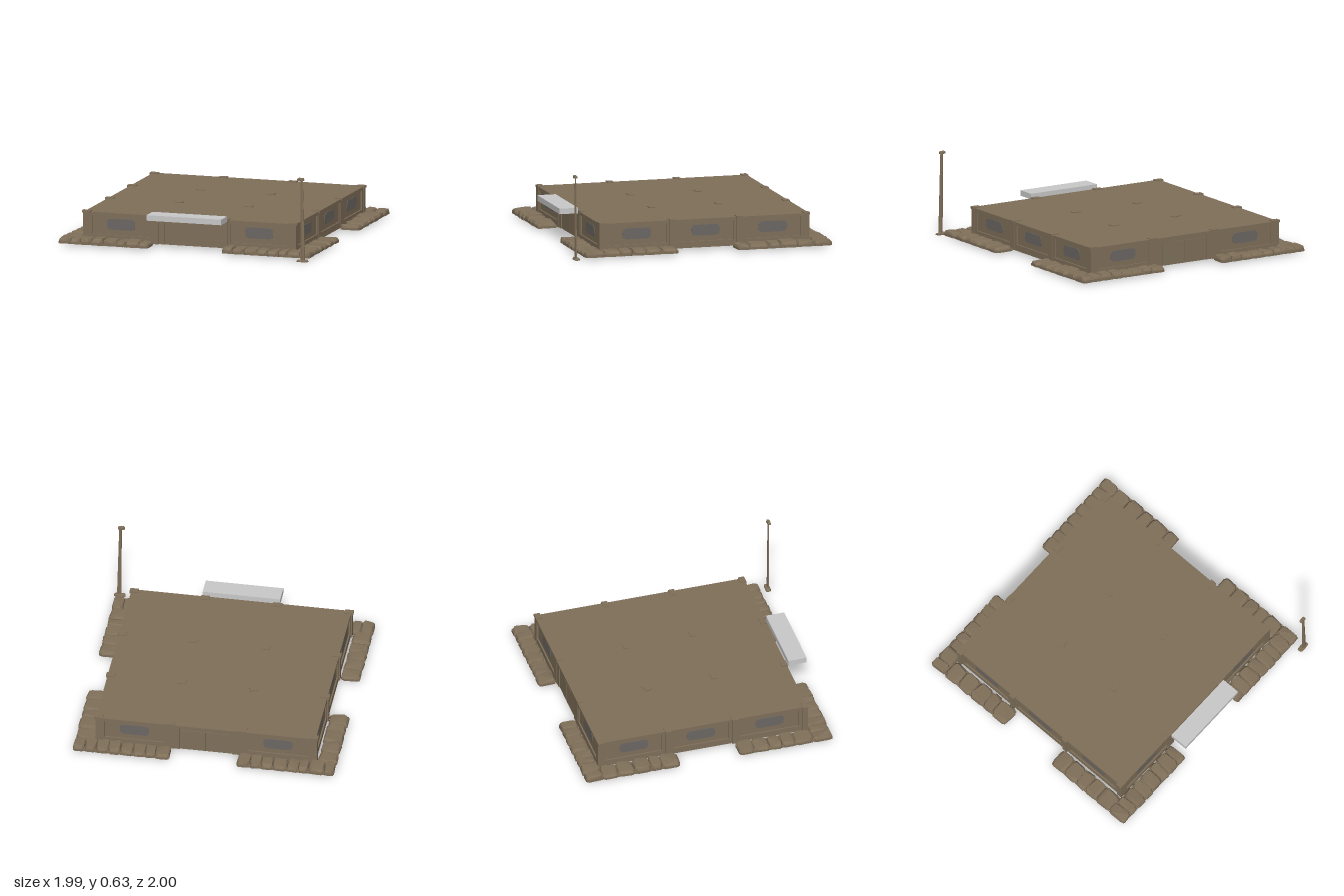
import * as THREE from 'three';
import { ConvexGeometry } from 'three/addons/geometries/ConvexGeometry.js';

const mat = (name, color) => {
  const m = new THREE.MeshStandardMaterial({ color });
  m.name = name;
  return m;
};

export function createModel() {
  const model = new THREE.Group();
  model.name = 'flatRoofBuilding';
  const clay = mat('brown clay', 0x80705a);
  const glass = mat('grey window', 0x6c6764);
  const pale = mat('pale awning', 0xcacaca);

  let seed = 7;
  const rnd = (a, b) => {
    seed = (seed * 16807) % 2147483647;
    return a + (b - a) * (seed / 2147483647);
  };
  const add = (parent, name, geo, material, x = 0, y = 0, z = 0) => {
    const m = new THREE.Mesh(geo, material);
    m.name = name;
    m.position.set(x, y, z);
    parent.add(m);
    return m;
  };
  // box given by its minimum and maximum corners
  const box = (parent, name, material, x0, x1, y0, y1, z0, z1) =>
    add(parent, name, new THREE.BoxGeometry(x1 - x0, y1 - y0, z1 - z0), material,
      (x0 + x1) / 2, (y0 + y1) / 2, (z0 + z1) / 2);

  const colX = [-0.82, -0.28, 0.265, 0.8];
  const colZ = [-0.847, -0.325, 0.195, 0.738];

  // Roof slab and the floor panels, with one strip left open underneath
  box(model, 'roof', clay, -0.835, 0.822, 0.222, 0.236, -0.868, 0.757);
  for (let i = 1; i < 3; i++) for (let j = 0; j < 3; j++) {
    box(model, 'floorPanel', clay, colX[i] + 0.004, colX[i + 1] - 0.004, 0.02, 0.03,
      colZ[j] + 0.004, colZ[j + 1] - 0.004);
  }

  // Columns, poking slightly through the roof
  for (const x of colX) for (const z of colZ) {
    const inner = Math.abs(x) < 0.5 && Math.abs(z) < 0.5;
    add(model, 'column', new THREE.BoxGeometry(0.05, 0.22, 0.042), clay, x, 0.13, z);
    const cap = add(model, 'columnCap', new THREE.BoxGeometry(0.066, 0.018, 0.046), clay, x, 0.234, z);
    if (inner && z < 0 && x < 0) cap.rotation.y = 0.4;
  }

  // Rounded window outline
  const windowGeo = (w, h) => {
    const r = h * 0.45, x = w / 2, y = h / 2, s = new THREE.Shape();
    s.moveTo(-x + r, -y).lineTo(x - r, -y).quadraticCurveTo(x, -y, x, -y + r)
      .lineTo(x, y - r).quadraticCurveTo(x, y, x - r, y)
      .lineTo(-x + r, y).quadraticCurveTo(-x, y, -x, y - r)
      .lineTo(-x, -y + r).quadraticCurveTo(-x, -y, -x + r, -y);
    return new THREE.ExtrudeGeometry(s, { depth: 0.004, bevelEnabled: false });
  };

  // One wall bay; its local +z points outwards and its face lies at z = 0
  const wallBay = (w, kind) => {
    const g = new THREE.Group();
    g.name = kind + 'Bay';
    const h = w / 2;
    box(g, 'wall', clay, -h, h, 0.02, 0.225, -0.022, -0.012);
    box(g, 'topRail', clay, -h, h, 0.212, 0.232, -0.014, 0);
    if (kind === 'door') {
      for (const s of [-1, 1]) {
        add(g, 'doorJamb', new THREE.BoxGeometry(0.07, 0.19, 0.01), clay, s * (h - 0.04), 0.117, -0.008);
      }
      for (const s of [-1, 1]) {
        const leaf = add(g, 'doorLeaf', new THREE.BoxGeometry(h - 0.09, 0.165, 0.006), clay,
          s * (h - 0.08) / 2, 0.11, -0.01);
        leaf.rotation.y = s * 0.015;
      }
      return g;
    }
    box(g, 'bottomRail', clay, -h, h, 0.02, 0.068, -0.014, -0.001);
    for (const s of [-1, 1]) {
      add(g, 'sideTrim', new THREE.BoxGeometry(0.03, 0.15, 0.012), clay, s * (h - 0.03), 0.14, -0.008);
    }
    add(g, 'window', windowGeo(0.22, 0.082), glass, 0, 0.149, -0.012);
    add(g, 'windowInside', windowGeo(0.22, 0.082), glass, 0, 0.149, -0.026);
    return g;
  };

  // Walls on all four sides: three bays each, doors in the middle of front and back
  for (let i = 0; i < 3; i++) {
    const wx = colX[i + 1] - colX[i], cx = (colX[i + 1] + colX[i]) / 2;
    const wz = colZ[i + 1] - colZ[i], cz = (colZ[i + 1] + colZ[i]) / 2;
    const kind = i === 1 ? 'door' : 'window';
    const sides = [
      [wx, kind, cx, 0.757, 0], [wx, kind, cx, -0.868, Math.PI],
      [wz, 'window', 0.822, cz, Math.PI / 2], [wz, 'window', -0.835, cz, -Math.PI / 2],
    ];
    for (const [w, k, x, z, turn] of sides) {
      const bay = wallBay(w, k);
      bay.position.set(x, 0, z);
      bay.rotation.y = turn;
      model.add(bay);
    }
  }

  // Irregular faceted paving stone
  const stone = (parent, x, z, w, d, y0, y1) => {
    const pts = [];
    for (let k = 0; k < 8; k++) {
      const a = (k + 0.5) * Math.PI / 4;
      const px = Math.sign(Math.cos(a)) * Math.min(1, Math.abs(Math.cos(a)) * 1.75) * w / 2;
      const pz = Math.sign(Math.sin(a)) * Math.min(1, Math.abs(Math.sin(a)) * 1.75) * d / 2;
      const s = rnd(0.94, 1.06), t = rnd(0.8, 0.93);
      pts.push(new THREE.Vector3(px * s, y0, pz * s),
        new THREE.Vector3(px * s, (y0 + y1) / 2, pz * s),
        new THREE.Vector3(px * t, y1 + rnd(-0.007, 0.004), pz * t));
    }
    add(parent, 'stone', new ConvexGeometry(pts), clay, x, 0, z);
  };

  // A straight run of stones over a thin bed
  const run = (parent, x0, x1, z0, z1, step) => {
    box(parent, 'stoneBed', clay, x0 + 0.004, x1 - 0.004, 0.012, 0.028, z0 + 0.004, z1 - 0.004);
    const alongX = x1 - x0 > z1 - z0;
    const start = alongX ? x0 : z0, end = alongX ? x1 : z1;
    const n = Math.round((end - start) / step);
    const cuts = [start];
    for (let i = 1; i < n; i++) cuts.push(start + (end - start) * (i + rnd(-0.18, 0.18)) / n);
    cuts.push(end);
    for (let i = 0; i < n; i++) {
      const c = (cuts[i] + cuts[i + 1]) / 2, l = cuts[i + 1] - cuts[i], top = rnd(0.046, 0.058);
      if (alongX) stone(parent, c, (z0 + z1) / 2, l, z1 - z0, 0.012, top);
      else stone(parent, (x0 + x1) / 2, c, x1 - x0, l, 0.012, top);
    }
  };

  // L-shaped stone borders at the four corners
  const corners = [
    [-0.99, -0.26, -0.99, -0.85, -1, -0.87, -0.87, -0.27],
    [0.25, 0.975, 0.825, 0.975, -1, -0.87, -0.87, -0.27],
    [-0.99, -0.29, -0.99, -0.85, 0.76, 0.91, 0.19, 0.76],
    [0.29, 0.975, 0.825, 0.975, 0.76, 0.91, 0.19, 0.76],
  ];
  for (const [ax0, ax1, bx0, bx1, az0, az1, bz0, bz1] of corners) {
    const g = new THREE.Group();
    g.name = 'stoneBorder';
    run(g, ax0, ax1, az0, az1, 0.09);
    run(g, bx0, bx1, bz0, bz1, 0.11);
    model.add(g);
  }

  // Awning slab above the front door
  box(model, 'awning', pale, -0.295, 0.29, 0.225, 0.267, 0.77, 0.912);

  // Slim leaning pole beside the front corner
  const pole = new THREE.Group();
  pole.name = 'pole';
  const shaft = new THREE.CylinderGeometry(0.011, 0.019, 0.61, 6).toNonIndexed();
  shaft.computeVertexNormals();
  const post = add(pole, 'poleShaft', shaft, clay, 0.949, 0.315, 0.982);
  post.scale.z = 0.5;
  post.rotation.z = 0.015;
  stone(pole, 0.949, 0.977, 0.085, 0.04, 0, 0.014);
  stone(pole, 0.937, 0.982, 0.05, 0.025, 0.615, 0.632);
  model.add(pole);

  return model;
}
